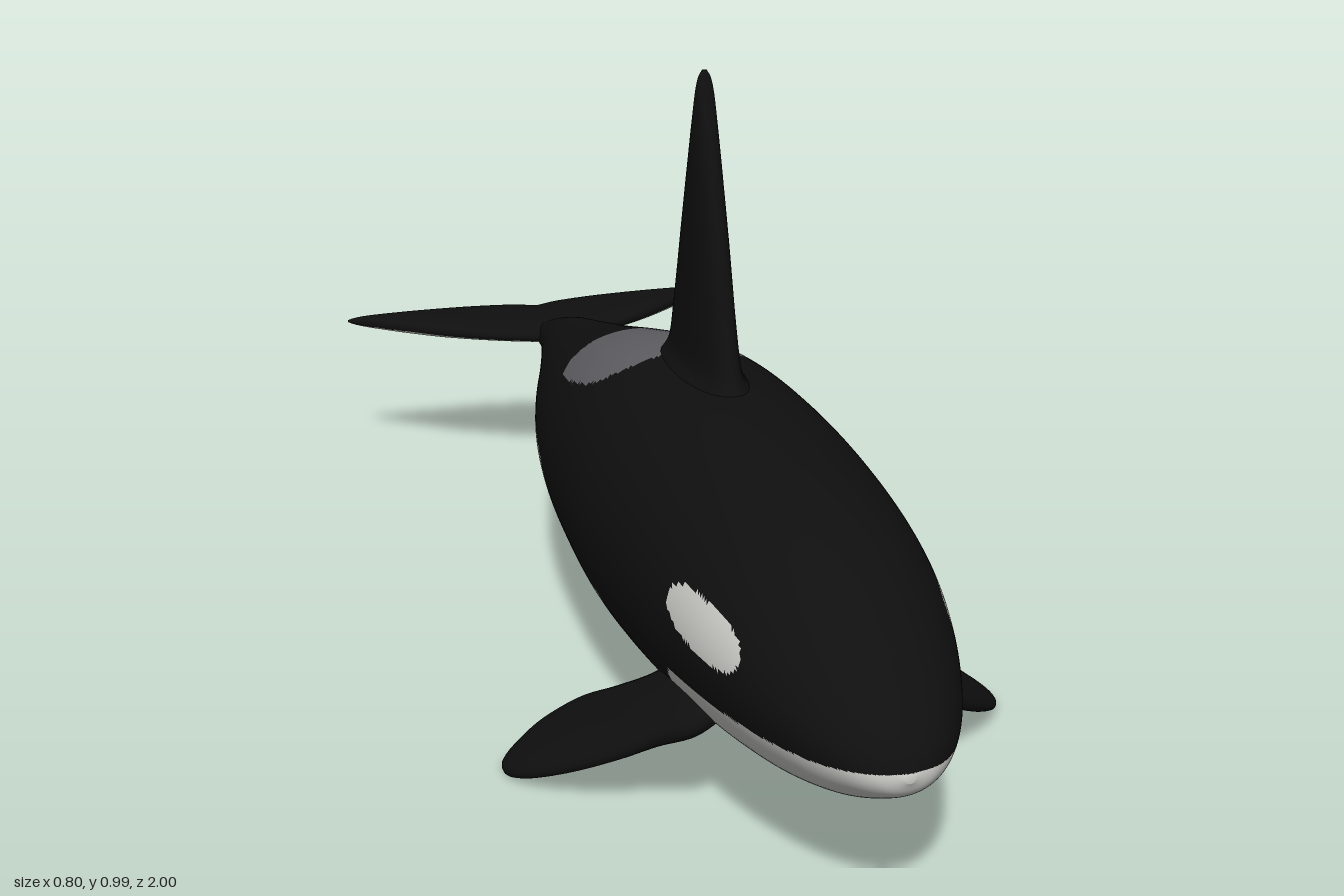
import * as THREE from 'three';

const black = new THREE.MeshStandardMaterial({ color: 0x0f0f0f });
black.name = 'black';
const white = new THREE.MeshStandardMaterial({ color: 0xd0d0cc });
white.name = 'white';
const grey = new THREE.MeshStandardMaterial({ color: 0x606064 });
grey.name = 'saddleGrey';
const materials = [black, white, grey];

// Smooth curve through table rows; t runs from 0 to 1 over the rows
function rowCurve(rows) {
  const size = rows[0].length;
  const spline = new THREE.CubicInterpolant(rows.map((_, i) => i), rows.flat(), size);
  return t => Array.from(spline.evaluate(t * (rows.length - 1)));
}

// Closed skin over rings: ring(s) gives a function from angle to [x, y, z];
// paint(x, y, z) gives the material index of each triangle
function loft(name, rings, sides, ring, paint = () => 0) {
  const pos = [];
  const add = p => pos.push(p[0], p[1], p[2]) / 3 - 1;
  const centres = [];
  for (let i = 0; i <= rings; i++) {
    const at = ring(i / rings);
    for (let j = 0; j < sides; j++) add(at((j / sides) * Math.PI * 2));
    if (i === 0 || i === rings) {
      const a = at(0), b = at(Math.PI);
      centres.push(a.map((v, k) => (v + b[k]) / 2));
    }
  }
  const start = add(centres[0]), end = add(centres[1]);
  const lists = materials.map(() => []);
  const tri = (a, b, c) => {
    const mid = [0, 1, 2].map(k => (pos[a * 3 + k] + pos[b * 3 + k] + pos[c * 3 + k]) / 3);
    lists[paint(...mid)].push(a, b, c);
  };
  for (let j = 0; j < sides; j++) {
    const k = (j + 1) % sides, last = rings * sides;
    tri(start, k, j);
    for (let i = 0; i < rings; i++) {
      const p = i * sides, q = p + sides;
      tri(p + j, p + k, q + k);
      tri(p + j, q + k, q + j);
    }
    tri(end, last + j, last + k);
  }
  const geo = new THREE.BufferGeometry();
  geo.setAttribute('position', new THREE.Float32BufferAttribute(pos, 3));
  geo.setIndex(lists.flat());
  let offset = 0;
  lists.forEach((list, m) => {
    if (list.length) geo.addGroup(offset, list.length, m);
    offset += list.length;
  });
  geo.computeVertexNormals();
  const mesh = new THREE.Mesh(geo, materials);
  mesh.name = name;
  return mesh;
}

// Body: z, top y, bottom y, half width
const bodyRow = rowCurve([
  [1, 0.248, 0.236, 0.006], [0.985, 0.28, 0.212, 0.046], [0.95, 0.318, 0.19, 0.083],
  [0.89, 0.368, 0.163, 0.12], [0.8, 0.425, 0.135, 0.155], [0.7, 0.468, 0.115, 0.182],
  [0.6, 0.494, 0.1, 0.2], [0.48, 0.512, 0.087, 0.214], [0.34, 0.525, 0.077, 0.223],
  [0.2, 0.53, 0.075, 0.226], [0.05, 0.528, 0.084, 0.219], [-0.1, 0.508, 0.103, 0.205],
  [-0.25, 0.472, 0.13, 0.179], [-0.4, 0.432, 0.165, 0.141], [-0.54, 0.398, 0.203, 0.098],
  [-0.66, 0.37, 0.232, 0.064], [-0.76, 0.339, 0.252, 0.04], [-0.83, 0.314, 0.265, 0.034],
  [-0.88, 0.302, 0.275, 0.026],
]);

// Upper edge of the white belly: z, y
const bellyLine = [
  [1, 0.25], [0.93, 0.243], [0.8, 0.235], [0.56, 0.226], [0.54, 0.195], [0.46, 0.18],
  [0.4, 0.118], [0.27, 0.112], [0.25, 0.21], [-0.05, 0.222], [-0.08, 0.268], [-0.15, 0.298],
  [-0.25, 0.312], [-0.4, 0.3], [-0.46, 0.254], [-0.6, 0.256], [-0.75, 0.268], [-1, 0.285],
];
function bellyTop(z) {
  const i = Math.max(1, bellyLine.findIndex(p => p[0] <= z));
  const [z0, y0] = bellyLine[i - 1], [z1, y1] = bellyLine[i];
  return y0 + ((y1 - y0) * (z - z0)) / (z1 - z0);
}

function paintBody(x, y, z) {
  if (y < bellyTop(z)) return 1;
  // Eye patch, slightly tilted
  const dz = z - 0.675, dy = y - 0.338 + dz * 0.12;
  if (Math.abs(dz / 0.097) ** 2.5 + Math.abs(dy / 0.036) ** 2.5 < 1) return 1;
  // Saddle patch behind the dorsal fin
  if (y > 0.4 && Math.abs(x / 0.153) ** 3.2 + Math.abs((z + 0.098) / 0.154) ** 3.2 < 1) return 2;
  return 0;
}

// Dorsal fin: y, front z, back z, half thickness
const dorsalRow = rowCurve([
  [0.48, 0.305, -0.03, 0.065], [0.52, 0.295, -0.015, 0.054], [0.55, 0.279, 0.004, 0.038],
  [0.62, 0.254, 0.024, 0.033], [0.74, 0.22, 0.057, 0.028], [0.86, 0.184, 0.09, 0.022],
  [0.95, 0.155, 0.116, 0.016], [0.985, 0.143, 0.126, 0.011], [1, 0.137, 0.131, 0.004],
]);

// Flipper: x, y, front z, back z, half thickness
const flipperRow = rowCurve([
  [0.13, 0.19, 0.64, 0.47, 0.032], [0.18, 0.163, 0.645, 0.46, 0.03],
  [0.225, 0.134, 0.607, 0.425, 0.027], [0.27, 0.102, 0.573, 0.378, 0.023],
  [0.325, 0.063, 0.52, 0.355, 0.019], [0.37, 0.032, 0.466, 0.362, 0.014],
  [0.392, 0.016, 0.427, 0.374, 0.009], [0.398, 0.01, 0.405, 0.385, 0.003],
]);

// Tail fluke, one half: x, front z, back z, half thickness
const flukeRow = rowCurve([
  [0, -0.765, -0.965, 0.022], [0.05, -0.782, -0.985, 0.022], [0.12, -0.812, -0.997, 0.021],
  [0.2, -0.86, -1, 0.02], [0.27, -0.913, -1, 0.017], [0.33, -0.962, -1, 0.012],
  [0.36, -0.985, -1, 0.007], [0.375, -0.996, -1, 0.002],
]);

// Rounded but slightly boxy section
const full = v => Math.sign(v) * Math.abs(v) ** 0.85;

export function createModel() {
  const model = new THREE.Group();
  model.name = 'whale';

  model.add(loft('body', 270, 160, s => {
    const [z, top, bottom, w] = bodyRow(s);
    const mid = (top + bottom) / 2, h = (top - bottom) / 2;
    return a => [w * Math.sin(a), mid + h * Math.cos(a), z];
  }, paintBody));

  model.add(loft('dorsalFin', 48, 32, s => {
    const [y, front, back, w] = dorsalRow(s);
    return a => [w * full(Math.sin(a)), y, (front + back) / 2 + ((front - back) / 2) * Math.cos(a)];
  }));

  for (const side of [1, -1]) {
    model.add(loft(side > 0 ? 'leftFlipper' : 'rightFlipper', 42, 28, s => {
      const [x, y, front, back, t] = flipperRow(s);
      return a => {
        const lift = t * full(Math.cos(a));
        const z = (front + back) / 2 + ((front - back) / 2) * Math.sin(side * a);
        return [side * (x + 0.5 * lift), y + 0.82 * lift, z];
      };
    }));
  }

  // Fluke runs across from tip to tip, with a white underside
  model.add(loft('tailFluke', 96, 40, s => {
    const across = s * 2 - 1;
    const [x, front, back, t] = flukeRow(Math.abs(across));
    return a => [
      Math.sign(across) * x,
      0.296 + t * full(Math.cos(a)),
      (front + back) / 2 + ((front - back) / 2) * Math.sin(a),
    ];
  }, (x, y) => (y < 0.289 ? 1 : 0)));

  return model;
}
